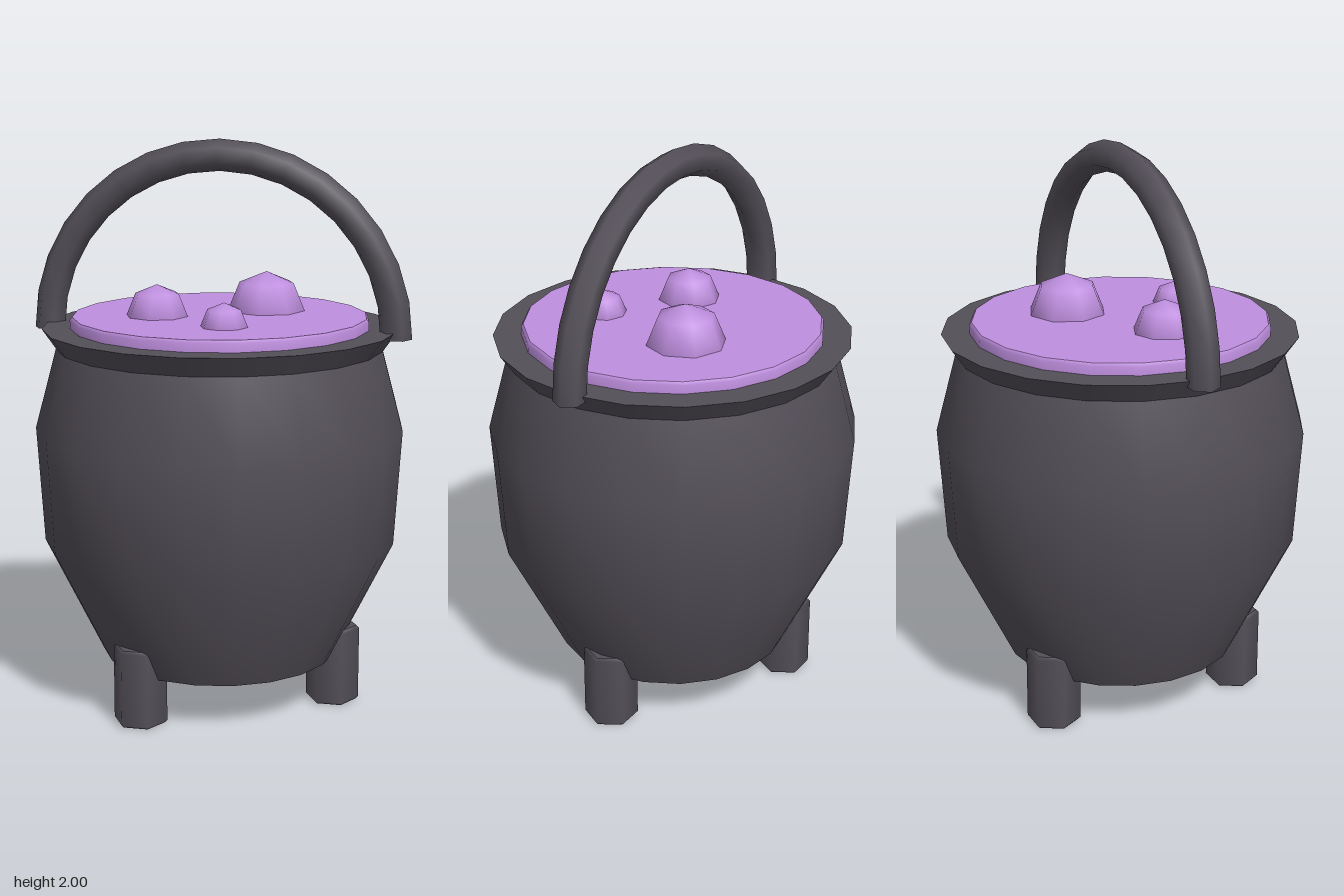
import * as THREE from 'three';

const iron = new THREE.MeshStandardMaterial({ color: 0x544f58 });
iron.name = 'dark iron';
const potion = new THREE.MeshStandardMaterial({ color: 0xbf8fdf });
potion.name = 'purple potion';

export function createModel() {
  const group = new THREE.Group();

  const add = (name, geometry, material, x = 0, y = 0, z = 0) => {
    const mesh = new THREE.Mesh(geometry, material);
    mesh.name = name;
    mesh.position.set(x, y, z);
    group.add(mesh);
    return mesh;
  };
  // Profile runs from the bottom centre outwards, up, and back to the top centre
  const lathe = (points, sides, start = 0) =>
    new THREE.LatheGeometry(points.map(([r, y]) => new THREE.Vector2(r, y)), sides, start);

  // Pot: separate lathes keep the rim and base edges sharp
  add('base', lathe([[0, 0.17], [0.42, 0.17]], 20), iron);
  add('body', lathe([[0.42, 0.17], [0.625, 0.59], [0.65, 1.0], [0.575, 1.28]], 20), iron);
  add('rimFlare', lathe([[0.575, 1.28], [0.623, 1.35]], 20), iron);
  add('rimTop', lathe([[0.623, 1.35], [0.5, 1.35]], 20), iron);

  // Potion surface with a small bevelled edge
  add('potionSide', lathe([[0.525, 1.345], [0.525, 1.38], [0.517, 1.39]], 20), potion);
  add('potionTop', lathe([[0.517, 1.39], [0, 1.39]], 20), potion);

  // Bubbles: x, z, radius
  [[0.14, -0.14, 0.138], [-0.21, 0.066, 0.11], [0.066, 0.246, 0.082]].forEach(([x, z, r]) =>
    add('bubble', new THREE.SphereGeometry(r, 8, 4), potion, x, 1.39, z));

  // Three hexagonal legs with bevelled ends
  for (let i = 0; i < 3; i++) {
    const a = (i * Math.PI * 2) / 3;
    const x = 0.415 * Math.cos(a), z = 0.415 * Math.sin(a);
    const h = 0.28, r = 0.095, b = 0.01;
    add('leg', lathe([[r - b, 0], [r, b], [r, h - b], [r - b, h]], 6, Math.PI / 2), iron, x, 0, z);
    add('legFoot', lathe([[0, 0], [r - b, 0]], 6, Math.PI / 2), iron, x, 0, z);
    add('legTop', lathe([[r - b, h], [0, h]], 6, Math.PI / 2), iron, x, 0, z);
  }

  // Arched handle with closed ends
  add('handle', new THREE.TorusGeometry(0.62, 0.055, 6, 16, Math.PI), iron, 0, 1.325, 0);
  for (const s of [-1, 1]) {
    add('handleEnd', new THREE.CircleGeometry(0.055, 6), iron, s * 0.62, 1.325, 0).rotation.x = Math.PI / 2;
  }

  return group;
}
